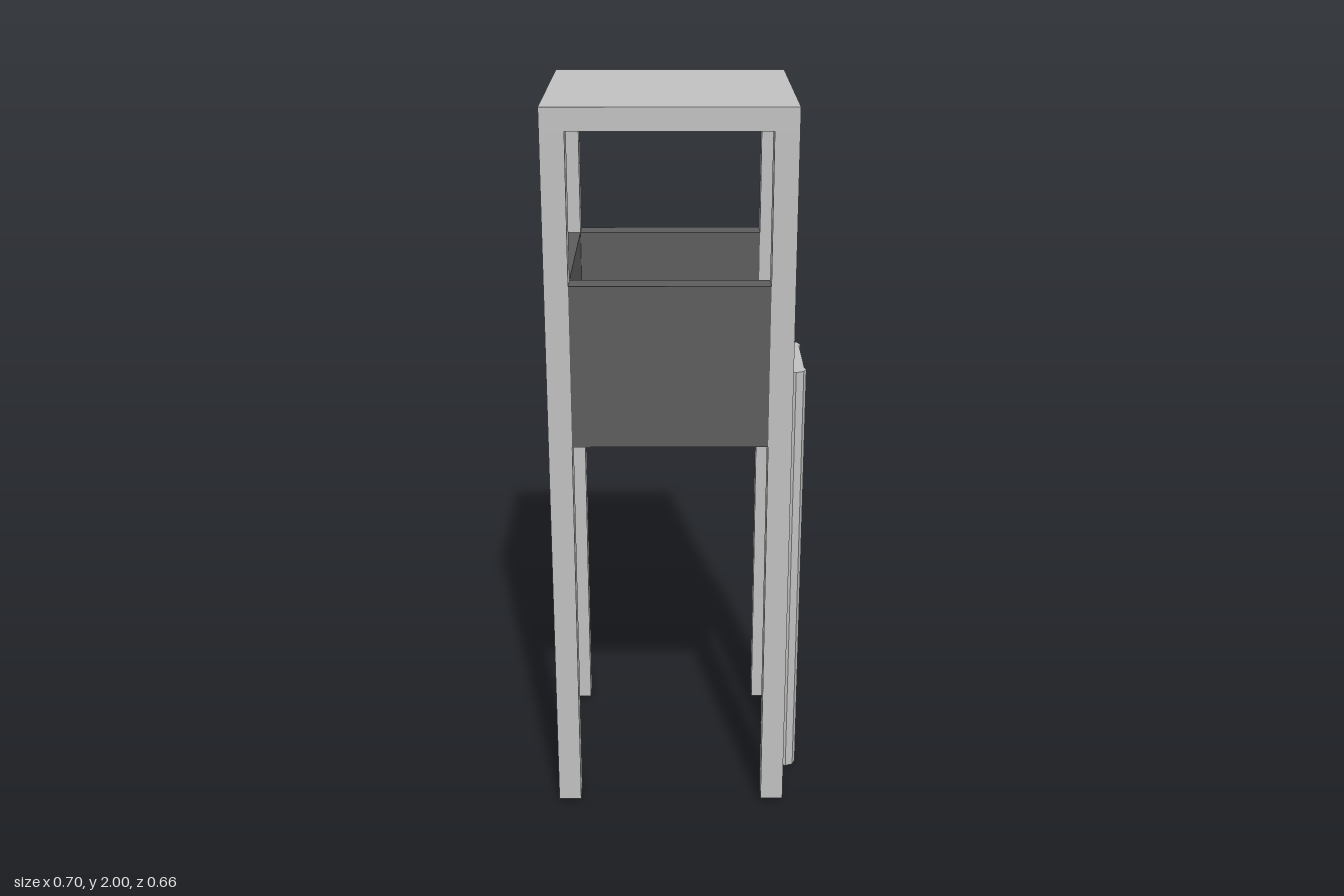
import * as THREE from 'three';

const lightGrey = new THREE.MeshStandardMaterial({ color: 0xc0c0c0, flatShading: true });
lightGrey.name = 'lightGrey';
const darkGrey = new THREE.MeshStandardMaterial({ color: 0x5c5c5c, flatShading: true });
darkGrey.name = 'darkGrey';

const HALF = 0.323; // half width of the tower
const POST = 0.063; // post and wall thickness

// Box given by its minimum and maximum corners
function box(parent, name, material, min, max) {
  const size = max.map((v, i) => v - min[i]);
  const mesh = new THREE.Mesh(new THREE.BoxGeometry(...size), material);
  mesh.position.set(...min.map((v, i) => v + size[i] / 2));
  mesh.name = name;
  parent.add(mesh);
}

function makeLadder() {
  const ladder = new THREE.Group();
  ladder.name = 'ladder';
  // Eight-sided side rails
  for (const side of [-1, 1]) {
    const rail = new THREE.Mesh(new THREE.CylinderGeometry(0.03, 0.03, 1.25, 8), lightGrey);
    rail.position.set(0, 0.625, side * 0.112);
    rail.name = 'ladderRail';
    ladder.add(rail);
  }
  // Evenly spaced rungs
  for (let i = 0; i < 8; i++) {
    const y = 0.083 + i * 0.1565;
    box(ladder, 'ladderRung', lightGrey, [-0.025, y, -0.1], [0.025, y + 0.072, 0.1]);
  }
  return ladder;
}

export function createModel() {
  const tower = new THREE.Group();
  tower.name = 'watchtower';
  const inner = HALF - POST;

  // Corner posts
  for (const sx of [-1, 1]) {
    for (const sz of [-1, 1]) {
      const x = sx < 0 ? -HALF : inner;
      const z = sz < 0 ? -HALF : inner;
      box(tower, 'cornerPost', lightGrey, [x, 0.01, z], [x + POST, 1.94, z + POST]);
    }
  }

  // Flat roof and platform floor
  box(tower, 'roof', lightGrey, [-HALF, 1.94, -HALF], [HALF, 2, HALF]);
  const edge = HALF - 0.002;
  box(tower, 'floor', lightGrey, [-edge, 1.104, -edge], [HALF, 1.252, edge]);

  // Walls on three sides; the ladder side stays open
  box(tower, 'frontWall', darkGrey, [-inner, 1.105, inner], [inner, 1.545, HALF]);
  box(tower, 'backWall', darkGrey, [-inner, 1.105, -HALF], [inner, 1.545, -inner]);
  box(tower, 'sideWall', darkGrey, [-HALF, 1.105, -inner], [-inner, 1.545, inner]);

  const ladder = makeLadder();
  ladder.position.set(0.3445, 0, -0.006);
  tower.add(ladder);

  // The whole tower is turned very slightly
  tower.rotation.y = -0.0158;
  tower.position.set(-0.025, 0, -0.001);

  const model = new THREE.Group();
  model.name = 'model';
  model.add(tower);
  return model;
}
